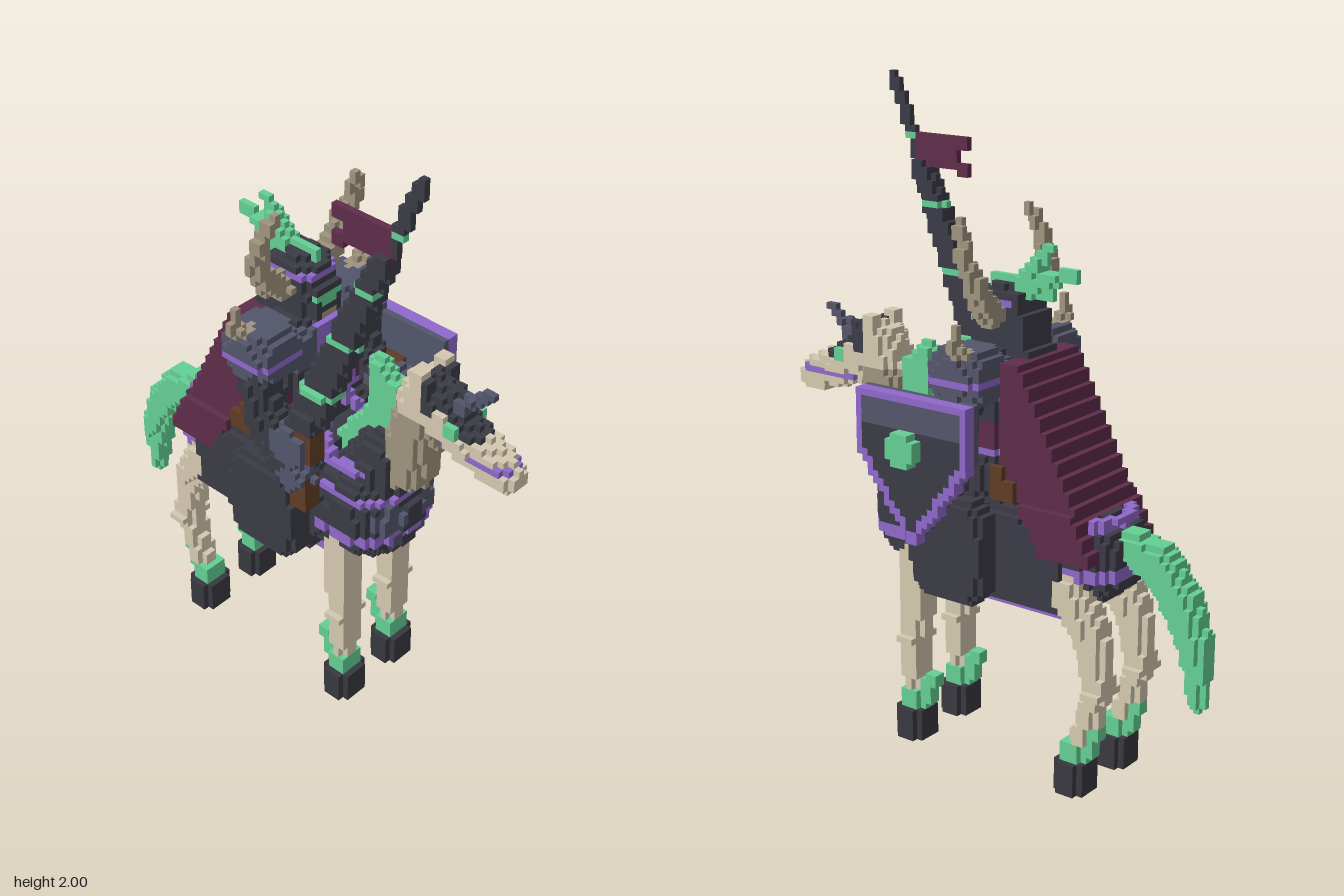
import * as THREE from 'three';

const V = 0.02; // block size
const COLORS = {
  bone: 0xd4c9b0, oldBone: 0x9e937d, steel: 0x3b3b46, plate: 0x53566b, hoof: 0x383840,
  purple: 0x9069cc, green: 0x64cf94, maroon: 0x5e2d4a, leather: 0x5f3c24,
};

// Blocks live on one grid: key -> [part, colour]
const key = (i, j, k) => i + ',' + j + ',' + k;

export function createModel() {
  const cells = new Map();

  // Visit every block whose centre is inside the bounds and passes the test
  function visit([x0, x1, y0, y1, z0, z1], test, act) {
    const e = 1e-6;
    for (let i = Math.ceil(x0 / V - e); i <= x1 / V + e; i++)
      for (let j = Math.ceil(y0 / V - 0.5 - e); j <= y1 / V - 0.5 + e; j++)
        for (let k = Math.ceil(z0 / V - e); k <= z1 / V + e; k++)
          if (!test || test(i * V, (j + 0.5) * V, k * V)) act(key(i, j, k));
  }
  const put = (part, mat, b, test) => visit(b, test, (q) => cells.set(q, [part, mat]));
  const paint = (part, mat, b, test) => visit(b, test, (q) => {
    if (cells.has(q) && cells.get(q)[0] === part) cells.set(q, [part, mat]);
  });
  // Rounded solid; a higher power gives a boxier shape
  function ball(part, mat, [x, y, z], [a, b, c], p = 2) {
    put(part, mat, [x - a, x + a, y - b, y + b, z - c, z + c], (u, v, w) =>
      Math.abs((u - x) / a) ** p + Math.abs((v - y) / b) ** p + Math.abs((w - z) / c) ** p <= 1);
  }
  // Tapered limb through points [x, y, z, radius]
  function limb(part, mat, pts, test) {
    for (let n = 0; n + 1 < pts.length; n++) {
      const a = pts[n], b = pts[n + 1], r = Math.max(a[3], b[3]);
      const d = [0, 1, 2].map((c) => b[c] - a[c]);
      const len = d[0] ** 2 + d[1] ** 2 + d[2] ** 2;
      const bounds = [0, 1, 2].flatMap((c) => [Math.min(a[c], b[c]) - r, Math.max(a[c], b[c]) + r]);
      put(part, mat, bounds, (x, y, z) => {
        const t = Math.min(1, Math.max(0, ((x - a[0]) * d[0] + (y - a[1]) * d[1] + (z - a[2]) * d[2]) / len));
        const s = Math.hypot(x - a[0] - t * d[0], y - a[1] - t * d[1], z - a[2] - t * d[2]);
        return s <= a[3] + (b[3] - a[3]) * t && (!test || test(x, y, z));
      });
    }
  }
  const both = (fn) => [1, -1].forEach(fn);
  const thin = (w, c = 0) => (x) => Math.abs(x - c) <= w;

  // Armoured body, skirt and belly lattice
  ball('horseBody', 'steel', [0, 0.71, -0.08], [0.18, 0.16, 0.42], 2.9);
  ball('horseBody', 'steel', [0, 0.73, 0.25], [0.175, 0.17, 0.135], 2.1);
  limb('horseBody', 'steel', [[0, 0.74, 0.22, 0.14], [0, 0.92, 0.29, 0.1]]);
  put('horseSkirt', 'steel', [-0.16, 0.16, 0.56, 0.8, -0.34, 0.12]);
  put('belly', 'bone', [-0.04, 0.04, 0.5, 0.52, -0.34, 0.17]);
  put('belly', 'purple', [-0.1, 0.1, 0.52, 0.56, -0.34, 0.17]);
  paint('belly', 'steel', [-0.08, 0.08, 0.52, 0.54, -0.32, 0.15], (x, y, z) => Math.round(z / V) % 3 === 0);
  for (const y of [0.68, 0.81]) paint('horseBody', 'purple', [-0.3, 0.3, y - 0.01, y + 0.015, -0.5, 0.42],
    (x, v, z) => z > 0.14 || z < -0.3);
  both((s) => {
    paint('horseBody', 'plate', [-0.3, 0.3, 0.58, 0.8, 0.2, 0.42],
      (x, y) => Math.hypot(x - s * 0.08, y - 0.75) < 0.05 || Math.hypot(x - s * 0.05, y - 0.65) < 0.03);
    limb('crupperStrap', 'purple', [[s * 0.1, 0.83, -0.4, 0.013], [s * 0.07, 0.83, -0.44, 0.013], [0, 0.82, -0.46, 0.013]]);
  });

  // Horse legs with hooves and feathered pasterns
  both((s) => {
    const x = s * 0.11;
    limb('frontLeg', 'bone', [[x, 0.6, 0.21, 0.05], [x, 0.4, 0.215, 0.046], [x, 0.33, 0.22, 0.04], [x, 0.12, 0.22, 0.034]]);
    limb('rearLeg', 'bone', [[x, 0.62, -0.36, 0.062], [x, 0.5, -0.43, 0.05], [x, 0.35, -0.455, 0.04], [x, 0.24, -0.43, 0.036], [x, 0.12, -0.385, 0.034]]);
    for (const [part, z] of [['frontLeg', 0.22], ['rearLeg', -0.46]])
      put(part, 'bone', [x - 0.06, x + 0.06, 0.32, 0.34, z - 0.02, z + 0.02]);
    for (const [part, z] of [['front', 0.22], ['rear', -0.38]]) {
      put(part + 'Fetlock', 'green', [x - 0.03, x + 0.03, 0.08, 0.16, z - 0.03, z + 0.03]);
      limb(part + 'Fetlock', 'green', [[x, 0.13, z - 0.03, 0.03], [x, 0.2, z - 0.07, 0.022]]);
      put(part + 'Hoof', 'hoof', [x - 0.05, x + 0.05, 0, 0.09, z - 0.04, z + 0.04],
        (u, v, w) => Math.abs(u - x) + Math.abs(w - z) < 0.085);
    }
  });

  // Tail and mane
  limb('tail', 'green', [[0, 0.75, -0.49, 0.05], [0, 0.72, -0.58, 0.06], [0, 0.62, -0.66, 0.055], [0, 0.5, -0.71, 0.045], [0, 0.32, -0.72, 0.022]]);
  limb('mane', 'green', [[0, 1.2, 0.25, 0.035], [0, 1.1, 0.3, 0.07], [0, 1.0, 0.26, 0.06], [0, 0.9, 0.16, 0.05]], thin(0.035));

  // Horse neck and skull with face plate, spikes, eyes and bridle
  limb('horseNeck', 'oldBone', [[0, 0.92, 0.36, 0.08], [0, 1.05, 0.39, 0.075], [0, 1.2, 0.42, 0.07]]);
  paint('horseNeck', 'bone', [-0.1, 0.1, 1.14, 1.3, 0.3, 0.5]);
  limb('horseHead', 'bone', [[0, 1.2, 0.44, 0.075], [0, 1.12, 0.56, 0.065], [0, 1.065, 0.7, 0.05]]);
  paint('horseHead', 'steel', [-0.05, 0.05, 1.1, 1.3, 0.42, 0.63], (x, y, z) =>
    y > 1.235 - (z - 0.42) * 0.55 && (x / 0.055) ** 2 + ((z - 0.53) / 0.11) ** 2 < 1);
  limb('faceSpike', 'steel', [[0, 1.19, 0.5, 0.045], [0, 1.23, 0.52, 0.03]]);
  limb('faceSpike', 'plate', [[0, 1.22, 0.55, 0.025], [0, 1.3, 0.65, 0.012]]);
  paint('horseHead', 'purple', [-0.1, 0.1, 1.08, 1.1, 0.5, 0.72], (x, y, z) => Math.abs(x) > 0.025 || z > 0.69);
  both((s) => {
    limb('horseEar', 'bone', [[s * 0.04, 1.22, 0.42, 0.03], [s * 0.05, 1.3, 0.43, 0.015]]);
    limb('browSpike', 'steel', [[s * 0.04, 1.2, 0.47, 0.025], [s * 0.05, 1.27, 0.46, 0.012]]);
    put('horseEye', 'green', [s * 0.06 - 0.005, s * 0.06 + 0.005, 1.15, 1.18, 0.53, 0.56]);
    limb('rein', 'purple', [[s * 0.1, 0.89, 0.28, 0.016], [s * 0.12, 0.89, 0.18, 0.016], [s * 0.08, 0.94, 0.1, 0.016],
      [s * 0.02, 1.02, 0.07, 0.016], [s * 0.07, 1.08, 0.07, 0.016]]);
  });

  // Saddle and rider's legs
  put('saddle', 'steel', [-0.14, 0.14, 0.83, 0.9, -0.12, 0.12]);
  both((s) => {
    limb('thigh', 'steel', [[s * 0.12, 0.92, -0.04, 0.08], [s * 0.19, 0.88, 0.1, 0.07]]);
    ball('shin', 'steel', [s * 0.2, 0.7, 0], [0.055, 0.165, 0.14], 3.2);
    ball('knee', 'plate', [s * 0.2, 0.87, 0.12], [0.058, 0.06, 0.06]);
  });
  put('stirrupLeather', 'leather', [-0.22, -0.18, 0.77, 0.88, 0.12, 0.17]);

  // Torso with tabard and belt
  ball('torso', 'steel', [0, 1.08, -0.04], [0.15, 0.2, 0.1], 4);
  paint('torso', 'plate', [-0.2, 0.2, 1.14, 1.26, -0.2, 0.2], (x) => Math.abs(x) > 0.05);
  paint('torso', 'purple', [-0.05, 0.05, 1.0, 1.28, 0.02, 0.2], (x, y) => Math.abs(x) > 0.03 || y > 1.1);
  paint('torso', 'purple', [-0.2, 0.2, 0.98, 1.0, -0.2, 0.2]);
  paint('torso', 'maroon', [-0.2, 0.2, 1.0, 1.08, -0.2, 0.2], (x) => Math.abs(x) > 0.11);

  // Shoulders and arms
  both((s) => {
    ball('pauldron', 'plate', [s * 0.18, 1.22, -0.04], [0.088, 0.085, 0.1], 3);
    paint('pauldron', 'purple', [-0.3, 0.3, 1.2, 1.22, -0.2, 0.2]);
    limb('pauldronSpike', 'oldBone', [[s * 0.22, 1.28, -0.06, 0.025], [s * 0.265, 1.31, -0.06, 0.02], [s * 0.26, 1.37, -0.06, 0.014]]);
    limb('arm', 'steel', [[s * 0.2, 1.16, -0.03, 0.06], [s * 0.21, 1.02, 0, 0.055], [s * 0.2, 0.98, 0.1, 0.05]]);
    ball('gauntlet', 'plate', [s * 0.2, 0.98, 0.11], [0.06, 0.06, 0.06], 3);
  });
  put('shieldStrap', 'leather', [0.21, 0.25, 0.96, 1.04, 0.04, 0.12]);

  // Helmet with neck guard, visor, horns and plume
  ball('helmet', 'steel', [0, 1.35, -0.05], [0.08, 0.11, 0.09], 2.6);
  put('helmet', 'steel', [-0.06, 0.06, 1.22, 1.44, -0.16, -0.1], (x, y, z) => z > -0.13 - (1.44 - y) * 0.2);
  put('helmet', 'steel', [-0.045, 0.045, 1.28, 1.38, 0.02, 0.04]);
  paint('helmet', 'purple', [-0.1, 0.1, 1.4, 1.42, -0.1, 0.1]);
  paint('helmet', 'green', [-0.04, 0.04, 1.32, 1.36, 0, 0.1], (x, y) => Math.abs(x) < 0.025 || y > 1.34);
  paint('helmet', 'oldBone', [-0.03, 0.03, 1.25, 1.3, 0, 0.1]);
  both((s) => limb('helmetHorn', 'oldBone', [[s * 0.07, 1.37, -0.05, 0.035], [s * 0.13, 1.4, -0.06, 0.032],
    [s * 0.175, 1.48, -0.06, 0.028], [s * 0.185, 1.56, -0.03, 0.022], [s * 0.165, 1.65, 0.0, 0.014]]));
  put('plume', 'green', [-0.015, 0.015, 1.42, 1.47, -0.14, 0.01]);
  for (const [y, z] of [[1.565, -0.19], [1.5, -0.28], [1.44, -0.2]])
    limb('plume', 'green', [[0, 1.44, -0.1, 0.03], [0, (1.44 + y) / 2 + 0.01, (z - 0.1) / 2, 0.026], [0, y, z, 0.015]], thin(0.03));

  // Cape flaring back over the rump, with the cantle beside it
  put('cape', 'maroon', [-0.18, 0.18, 0.73, 1.25, -0.46, -0.08], (x, y, z) => {
    const t = (1.25 - y) / 0.52;
    return z > -0.195 - 0.255 * t && z < -0.13 - 0.33 * Math.max(0, t - 0.55) && Math.abs(x) <= 0.145 + 0.02 * t;
  });
  both((s) => put('cantle', 'leather', [s * 0.16 - 0.01, s * 0.16 + 0.01, 0.86, 0.95, -0.18, -0.12],
    (x, y, z) => z > -0.15 || y < 0.92));

  // Shield: backing, purple outline, two-tone face and boss
  const heater = (inset) => (x, y, z) => {
    const half = y > 0.98 ? 0.2 : 0.2 * Math.max(0, (y - 0.72) / 0.26) ** 0.9;
    return y < 1.17 - inset && y > 0.72 + inset * 1.3 && Math.abs(z - 0.07) <= half - inset * (y < 0.98 ? 1.4 : 1);
  };
  const layer = (x, y0 = 0.7) => [x - 0.005, x + 0.005, y0, 1.18, -0.14, 0.28];
  put('shield', 'plate', layer(0.26), heater(0.01));
  put('shield', 'purple', layer(0.28), heater(0));
  put('shield', 'purple', layer(0.3), heater(0));
  paint('shield', 'steel', layer(0.3), heater(0.024));
  paint('shield', 'plate', layer(0.3, 1.06), heater(0.024));
  put('shieldBoss', 'green', [0.32, 0.34, 0.94, 1.08, 0, 0.16], (x, y, z) => Math.hypot(y - 1.01, z - 0.08) < 0.055);

  // Lance leaning forward, with guard, grip, rings and pennant
  const at = (y, r) => [-0.2, y, 0.545 - (2 - y) * 0.425, r];
  limb('lance', 'steel', [at(1.0, 0.045), at(1.18, 0.058), at(1.4, 0.044), at(1.72, 0.032)], thin(0.03, -0.2));
  limb('lance', 'steel', [at(1.72, 0.024), at(1.99, 0.014)], thin(0.01, -0.2));
  ball('lanceGuard', 'steel', at(1.1, 0).slice(0, 3), [0.06, 0.04, 0.06]);
  for (const y of [1.41, 1.61, 1.81]) paint('lance', 'green', [-0.3, -0.1, y - 0.01, y + 0.015, 0, 0.7]);
  put('lanceRing', 'green', [-0.25, -0.15, 1.2, 1.22, 0.13, 0.28], (x, y, z) => Math.hypot(x + 0.2, z - 0.21) < 0.06);
  put('lanceGrip', 'leather', [-0.22, -0.18, 0.95, 1.04, 0.14, 0.18]);
  put('pennant', 'maroon', [-0.2, -0.2, 1.7, 1.82, 0.25, 0.45],
    (x, y, z) => (y > 1.72 || z < 0.3) && !(z < 0.29 && Math.abs(y - 1.76) < 0.025));

  return buildBlocks(cells);
}

// Turn the grid into one mesh per part and colour, keeping only open block faces
function buildBlocks(cells) {
  const model = new THREE.Group();
  const materials = {}, parts = {};
  for (const [name, color] of Object.entries(COLORS)) {
    materials[name] = new THREE.MeshStandardMaterial({ color });
    materials[name].name = name;
  }
  for (const [q, [part, mat]] of cells) {
    const c = q.split(',').map(Number);
    const out = ((parts[part] ??= {})[mat] ??= { pos: [], index: [] });
    for (let a = 0; a < 3; a++) for (const s of [1, -1]) {
      const n = c.slice();
      n[a] += s;
      if (cells.has(key(...n))) continue;
      const base = out.pos.length / 3;
      for (const [u, w] of [[0, 0], [1, 0], [1, 1], [0, 1]]) {
        const p = c.slice();
        p[a] += s > 0 ? 1 : 0;
        p[(a + 1) % 3] += u;
        p[(a + 2) % 3] += w;
        out.pos.push((p[0] - 0.5) * V - 0.035, p[1] * V, (p[2] - 0.5) * V);
      }
      const order = s > 0 ? [0, 1, 2, 0, 2, 3] : [0, 2, 1, 0, 3, 2];
      out.index.push(...order.map((o) => base + o));
    }
  }
  for (const [part, colours] of Object.entries(parts)) {
    const group = new THREE.Group();
    group.name = part;
    for (const [mat, { pos, index }] of Object.entries(colours)) {
      const geo = new THREE.BufferGeometry();
      geo.setAttribute('position', new THREE.Float32BufferAttribute(pos, 3));
      geo.setIndex(index);
      geo.computeVertexNormals();
      const mesh = new THREE.Mesh(geo, materials[mat]);
      mesh.name = part + '_' + mat;
      group.add(mesh);
    }
    model.add(group);
  }
  return model;
}
